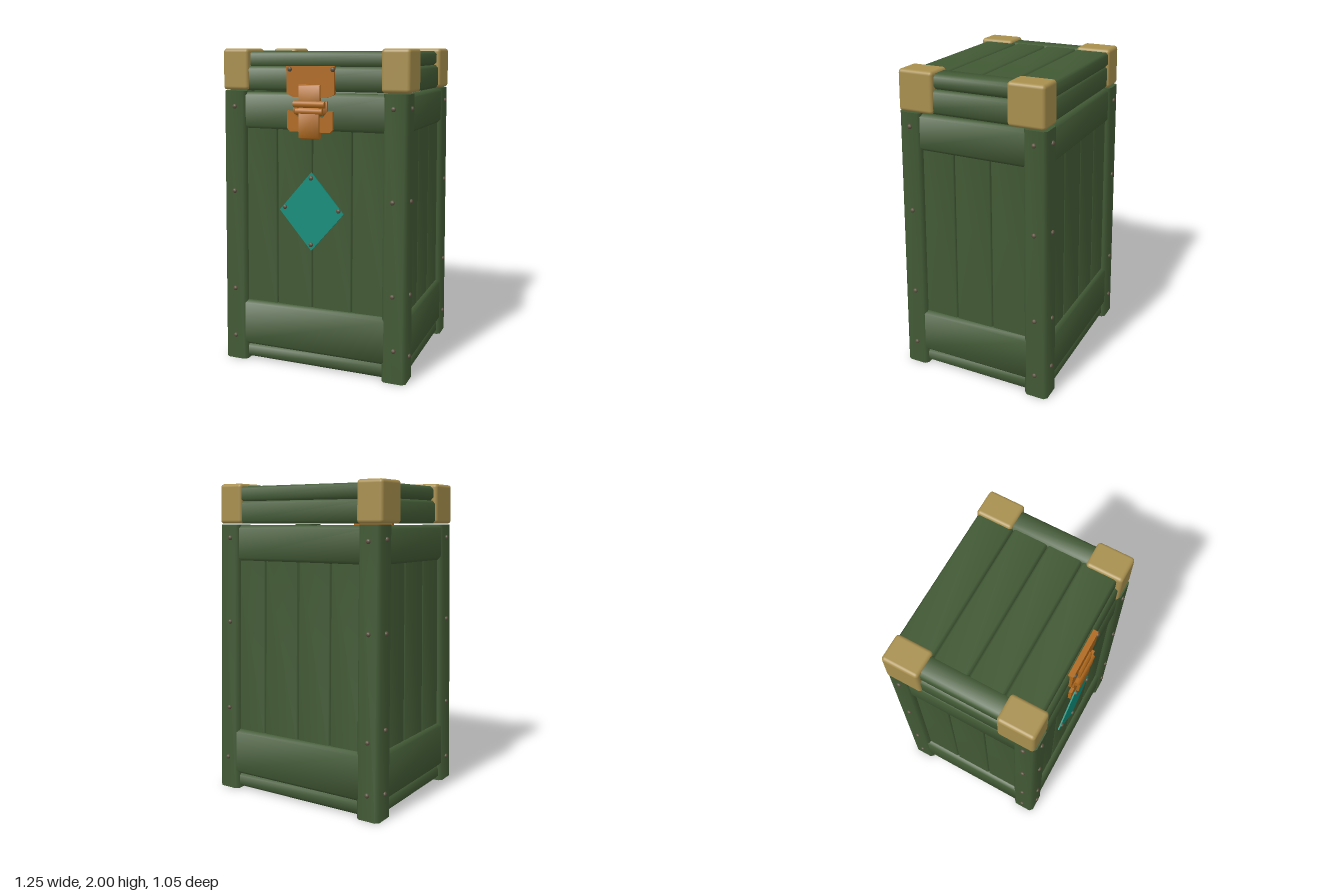
import * as THREE from 'three';
import { toCreasedNormals } from 'three/addons/utils/BufferGeometryUtils.js';
import { RoundedBoxGeometry } from 'three/addons/geometries/RoundedBoxGeometry.js';

const paint = (name, color) => new THREE.MeshStandardMaterial({ name, color });

// The whole crate narrows towards the top
const taperX = y => 1 - 0.02 * y;
const taperZ = y => 1 - 0.045 * y;
function taper(geo) {
  const p = geo.attributes.position;
  for (let i = 0; i < p.count; i++) {
    const y = p.getY(i);
    p.setXYZ(i, p.getX(i) * taperX(y), y, p.getZ(i) * taperZ(y));
  }
  return geo;
}

// Beam with chamfered long edges, running along 'x', 'y' or 'z' between the given ranges
function beamGeometry(axis, ranges, c, tapered = true) {
  const a = 'xyz'.indexOf(axis), b = (a + 1) % 3, d = (a + 2) % 3;
  const [u0, u1] = ranges[b], [v0, v1] = ranges[d], [w0, w1] = ranges[a];
  const shape = new THREE.Shape([
    [u0 + c, v0], [u1 - c, v0], [u1, v0 + c], [u1, v1 - c],
    [u1 - c, v1], [u0 + c, v1], [u0, v1 - c], [u0, v0 + c],
  ].map(q => new THREE.Vector2(...q)));
  const geo = new THREE.ExtrudeGeometry(shape, { depth: w1 - w0, bevelEnabled: false });
  const p = geo.attributes.position, out = [0, 0, 0];
  for (let i = 0; i < p.count; i++) {
    out[b] = p.getX(i);
    out[d] = p.getY(i);
    out[a] = p.getZ(i) + w0;
    p.setXYZ(i, ...out);
  }
  if (tapered) taper(geo);
  return toCreasedNormals(geo, 0.95);
}

export function createModel() {
  const green = paint('greenWood', 0x425a35);
  const brass = paint('brass', 0xa88f4e);
  const copper = paint('orangeLatch', 0xb0691c);
  const teal = paint('tealPlate', 0x0f8d7b);
  const iron = paint('darkRivet', 0x5c5240);

  const model = new THREE.Group();
  model.name = 'crate';
  const add = (name, geo, mat, parent = model) => {
    const mesh = new THREE.Mesh(geo, mat);
    mesh.name = name;
    parent.add(mesh);
    return mesh;
  };
  const beam = (name, axis, x, y, z, c = 0.015) =>
    add(name, beamGeometry(axis, [x, y, z], c), green);
  // Range from inner to outer distance on the chosen side
  const side = (s, inner, outer) => (s > 0 ? [inner, outer] : [-outer, -inner]);

  // Corner posts and brass caps
  for (const sx of [-1, 1]) for (const sz of [-1, 1]) {
    beam('cornerPost', 'y', side(sx, 0.46, 0.615), [0, 1.745], side(sz, 0.36, 0.515), 0.02);
    const cap = new RoundedBoxGeometry(0.18, 0.25, 0.25, 3, 0.022);
    cap.translate(sx * 0.533, 1.875, sz * 0.384);
    add('cornerCap', taper(cap), brass);
  }

  // Front and back walls
  for (const s of [-1, 1]) {
    beam('bottomRail', 'x', [-0.47, 0.47], [0.012, 0.105], side(s, 0.39, 0.492), 0.02);
    beam('lowerBand', 'x', [-0.5, 0.5], [0.105, 0.405], side(s, 0.44, 0.509), 0.02);
    beam('upperBand', 'x', [-0.5, 0.5], [1.515, 1.74], side(s, 0.43, 0.5), 0.02);
    const seams = [-0.49, -0.25, -0.008, 0.255, 0.49];
    for (let i = 0; i < 4; i++) {
      beam('wallPlank', 'y', [seams[i] + 0.002, seams[i + 1] - 0.002], [0.38, 1.54],
        side(s, 0.44, 0.482), 0.008);
    }
    beam('lidRail', 'x', [-0.5, 0.5], [1.75, 1.895], side(s, 0.43, 0.494), 0.018);
  }

  // Left and right walls
  for (const s of [-1, 1]) {
    beam('bottomRail', 'z', side(s, 0.49, 0.592), [0.012, 0.105], [-0.37, 0.37], 0.02);
    beam('lowerBand', 'z', side(s, 0.54, 0.609), [0.105, 0.405], [-0.4, 0.4], 0.02);
    beam('upperBand', 'z', side(s, 0.54, 0.604), [1.515, 1.74], [-0.4, 0.4], 0.02);
    const seams = [-0.385, -0.123, 0.135, 0.385];
    for (let i = 0; i < 3; i++) {
      beam('wallPlank', 'y', side(s, 0.54, 0.582), [0.38, 1.54],
        [seams[i] + 0.002, seams[i + 1] - 0.002], 0.008);
    }
    beam('lidRail', 'z', side(s, 0.54, 0.608), [1.75, 1.895], [-0.4, 0.4], 0.018);
    beam('lidEndBar', 'z', side(s, 0.455, 0.597), [1.895, 1.985], [-0.4, 0.4], 0.02);
  }

  // Floor panel and lid boards
  beam('floorPanel', 'x', [-0.5, 0.5], [0.06, 0.09], [-0.41, 0.41], 0.005);
  const lidSeams = [-0.5, -0.25, -0.01, 0.23, 0.475];
  for (let i = 0; i < 4; i++) {
    beam('lidBoard', 'x', [-0.47, 0.46], [1.89, 1.982], [lidSeams[i] + 0.002, lidSeams[i + 1] - 0.002], 0.015);
  }

  // Diamond plate, tilted to follow the front wall
  const plate = new THREE.Group();
  plate.name = 'diamondPlate';
  plate.position.set(-0.01, 1.02, 0.466);
  plate.rotation.x = -0.022;
  model.add(plate);
  const diamond = new THREE.Shape([[0, -0.245], [0.212, 0], [0, 0.245], [-0.212, 0]]
    .map(q => new THREE.Vector2(...q)));
  add('diamond', new THREE.ExtrudeGeometry(diamond, { depth: 0.009, bevelEnabled: false }), teal, plate);

  // Rivets: flattened domes facing a given direction
  const dome = new THREE.SphereGeometry(0.015, 10, 6);
  const rivet = (x, y, z, parent = model, flat = 'z') => {
    const r = add('rivet', dome, iron, parent);
    r.position.set(x, y, z);
    r.scale[flat] = 0.8;
  };
  for (const [x, y] of [[0, 0.21], [0, -0.205], [-0.175, 0.02], [0.18, 0.02]]) rivet(x, y, 0.012, plate);
  const leftRow = [[0.535, 1.65], [0.54, 1.12], [0.54, 0.48], [0.54, 0.16]];
  const rightRow = [[0.525, 1.66], [0.525, 1.12], [0.53, 0.55], [0.54, 0.21]];
  for (const sz of [-1, 1]) {
    for (const [x, y] of leftRow) rivet(-x * taperX(y), y, sz * 0.517 * taperZ(y));
    for (const [x, y] of rightRow) rivet(x * taperX(y), y, sz * 0.517 * taperZ(y));
  }
  for (const sx of [-1, 1]) for (const sz of [-1, 1]) for (const y of [1.66, 1.12, 0.55, 0.16]) {
    rivet(sx * 0.617 * taperX(y), y, sz * 0.435 * taperZ(y), model, 'x');
  }

  // Latch: hasp plate, strap, hinge barrel, keeper plate and tongue
  const latch = new THREE.Group();
  latch.name = 'latch';
  latch.position.x = -0.012;
  model.add(latch);
  const plateShape = (name, pts, z, depth) => {
    const all = [...pts, ...pts.map(([x, y]) => [-x, y]).reverse()];
    const geo = new THREE.ExtrudeGeometry(new THREE.Shape(all.map(q => new THREE.Vector2(...q))),
      { depth, bevelEnabled: false });
    add(name, geo.translate(0, 0, z), copper, latch);
  };
  plateShape('haspPlate', [[0.11, 1.715], [0.153, 1.735], [0.153, 1.898]], 0.44, 0.032);
  plateShape('keeperPlate', [[0.13, 1.51], [0.148, 1.53], [0.148, 1.635], [0.115, 1.635], [0.085, 1.6]], 0.455, 0.028);
  const bars = [
    ['strap', 0.068, [1.65, 1.79], [0.465, 0.488]],
    ['tongue', 0.065, [1.47, 1.655], [0.465, 0.5]],
    ['barrelBase', 0.11, [1.61, 1.695], [0.455, 0.478]],
  ];
  for (const [name, w, y, z] of bars) {
    add(name, beamGeometry('x', [[-w, w], y, z], 0.007, false), copper, latch);
  }
  const barrel = new THREE.CylinderGeometry(0.022, 0.022, 0.2, 12).rotateZ(Math.PI / 2);
  for (const [y, len] of [[1.675, 1], [1.632, 0.85]]) {
    const b = add('hingeBarrel', barrel, copper, latch);
    b.position.set(0, y, 0.482);
    b.scale.x = len;
  }
  for (const x of [-0.13, 0.145]) rivet(x, 1.88, 0.473, latch);

  return model;
}
